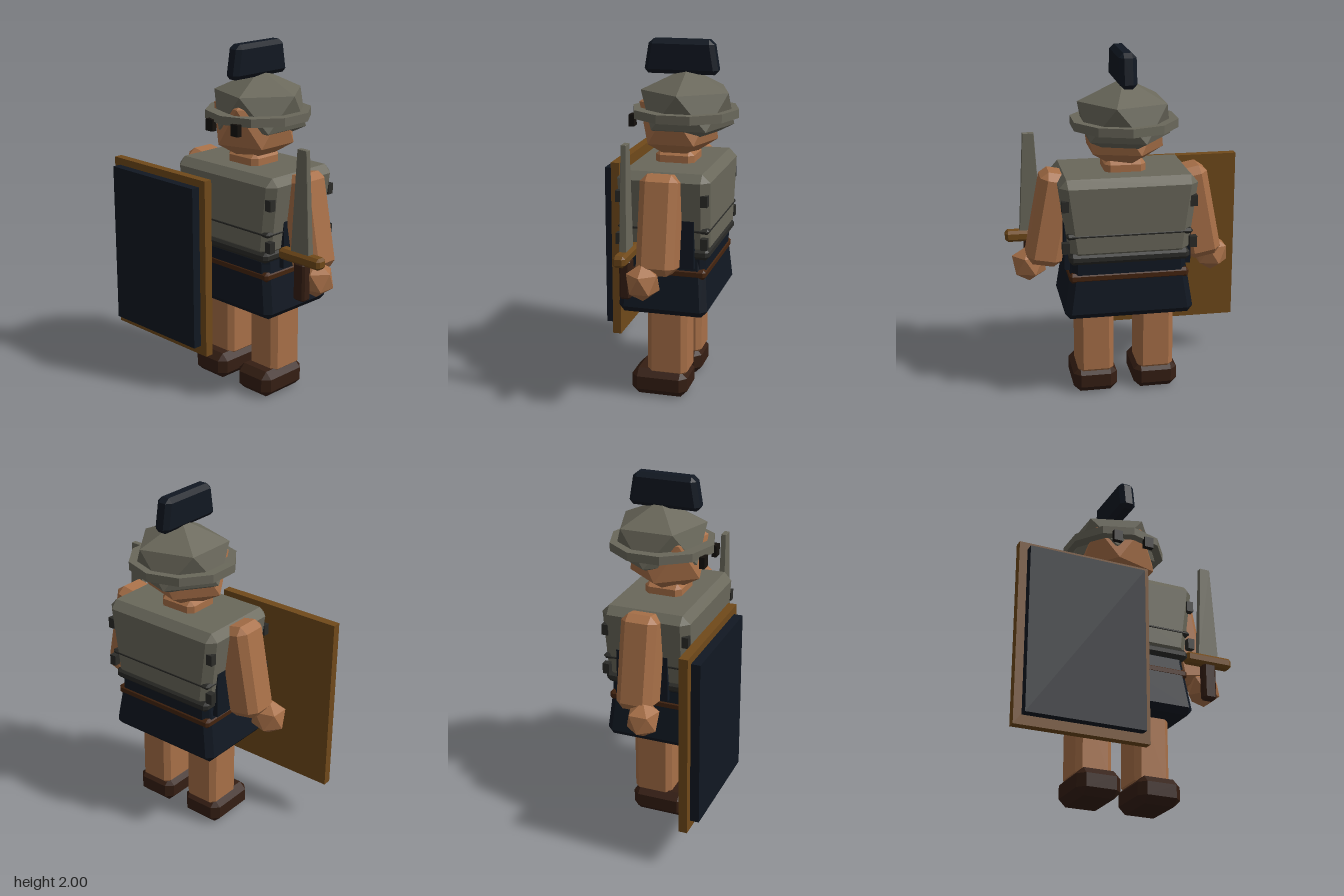
import * as THREE from 'three';
import { ConvexGeometry } from 'three/addons/geometries/ConvexGeometry.js';

const CX = 0.04, CZ = -0.055; // body axis
const mat = (color) => new THREE.MeshStandardMaterial({ color, flatShading: true, roughness: 0.9 });

// Chamfered box; tx and tz scale its top for a taper
function bevelBox(w, h, d, c, tx = 1, tz = 1) {
  const pts = [];
  for (const sx of [-1, 1]) for (const sy of [-1, 1]) for (const sz of [-1, 1]) {
    for (let axis = 0; axis < 3; axis++) {
      const y = sy * (h / 2 - (axis === 1 ? 0 : c));
      const k = y / h + 0.5;
      pts.push(new THREE.Vector3(
        sx * (w / 2 * (1 + (tx - 1) * k) - (axis === 0 ? 0 : c)), y,
        sz * (d / 2 * (1 + (tz - 1) * k) - (axis === 2 ? 0 : c))));
    }
  }
  return new ConvexGeometry(pts);
}

// Twenty-sided ball standing on a corner, an upper-ring corner towards +x
function ball(rx, ry, rz) {
  const pts = [new THREE.Vector3(0, ry, 0), new THREE.Vector3(0, -ry, 0)];
  for (let i = 0; i < 5; i++) {
    const a = i * Math.PI * 0.4;
    for (const s of [1, -1]) {
      pts.push(new THREE.Vector3(s * 0.894 * rx * Math.cos(a), s * 0.447 * ry, 0.894 * rz * Math.sin(a)));
    }
  }
  return new ConvexGeometry(pts);
}

export function createModel() {
  const model = new THREE.Group();
  const skin = mat(0xa87048), steel = mat(0x6a685b), darkSteel = mat(0x2b2b28);
  const navy = mat(0x111822), leather = mat(0x351e13), belt = mat(0x44240f);
  const bronze = mat(0x70491a), black = mat(0x14100d);
  const add = (name, geometry, material, x, y, z) => {
    const mesh = new THREE.Mesh(geometry, material);
    mesh.name = name;
    mesh.position.set(x, y, z);
    model.add(mesh);
    return mesh;
  };
  const box = (w, h, d) => new THREE.BoxGeometry(w, h, d);

  // Limbs and paired details, mirrored about the body axis
  for (const s of [1, -1]) {
    const side = s > 0 ? 'left' : 'right';
    add(side + 'Boot', bevelBox(0.255, 0.155, 0.325, 0.04), leather, CX + s * 0.178, 0.0775, -0.012);
    add(side + 'Leg', bevelBox(0.21, 0.5, 0.23, 0.03), skin, CX + s * 0.175, 0.37, CZ);
    const arm = add(side + 'Arm', bevelBox(0.2, 0.54, 0.21, 0.04), skin, CX + s * 0.415, 1.06, CZ - 0.003);
    arm.rotation.z = s * 0.192;
    add(side + 'Hand', ball(0.108, 0.108, 0.1), skin, CX + s * 0.535, 0.77, 0.003);
    add(side + 'Eye', box(0.056, 0.066, 0.03), black, CX + s * 0.098, 1.557, 0.185);
    // Tunic showing at the open sides of the armour
    add(side + 'TunicSide', box(0.03, 0.27, 0.305), navy, CX + s * 0.342, 0.935, -0.078);
    for (const y of [1.188, 0.95]) for (const z of [0.184, -0.289]) {
      add(side + 'Buckle', box(0.04, 0.062, 0.038), darkSteel, CX + s * 0.356, y, z);
    }
  }

  // Torso
  add('skirt', bevelBox(0.74, 0.36, 0.51, 0.035, 0.85, 0.88), navy, CX, 0.7, -0.05);
  add('tunic', bevelBox(0.64, 0.24, 0.46, 0.03), navy, CX, 0.87, CZ);
  add('belt', bevelBox(0.672, 0.055, 0.478, 0.015), belt, CX, 0.763, -0.052);
  add('breastplate', bevelBox(0.66, 0.46, 0.5, 0.045, 1.18, 1.04), steel, CX, 1.1, -0.057);
  add('armourStripe', bevelBox(0.705, 0.03, 0.512, 0.012), darkSteel, CX, 1.014, -0.057);
  add('armourHem', bevelBox(0.675, 0.064, 0.508, 0.02), darkSteel, CX, 0.879, -0.055);

  // Head and helmet
  add('neck', bevelBox(0.23, 0.14, 0.22, 0.03), skin, CX, 1.33, CZ);
  add('head', ball(0.257, 0.24, 0.245), skin, CX, 1.55, CZ);
  add('helmet', ball(0.291, 0.22, 0.291), steel, CX, 1.626, -0.105);
  add('helmetBrim', new THREE.CylinderGeometry(0.302, 0.302, 0.048, 10), steel, CX, 1.601, -0.093);
  add('crest', bevelBox(0.096, 0.19, 0.425, 0.025, 1, 0.85), navy, CX + 0.002, 1.905, -0.073);

  // Sword
  const blade = bevelBox(0.128, 0.58, 0.04, 0.002, 0.5, 0.75);
  add('swordBlade', blade, steel, 0.553, 1.22, 0.1);
  add('swordGuard', bevelBox(0.295, 0.065, 0.072, 0.016), bronze, 0.553, 0.908, 0.1);
  add('swordGrip', bevelBox(0.08, 0.22, 0.062, 0.012), leather, 0.555, 0.777, 0.1);

  // Shield
  add('shieldFrame', box(0.766, 1.04, 0.05), bronze, -0.327, 0.765, 0.319);
  add('shieldPanel', box(0.676, 0.945, 0.052), navy, -0.327, 0.771, 0.369);
  return model;
}
